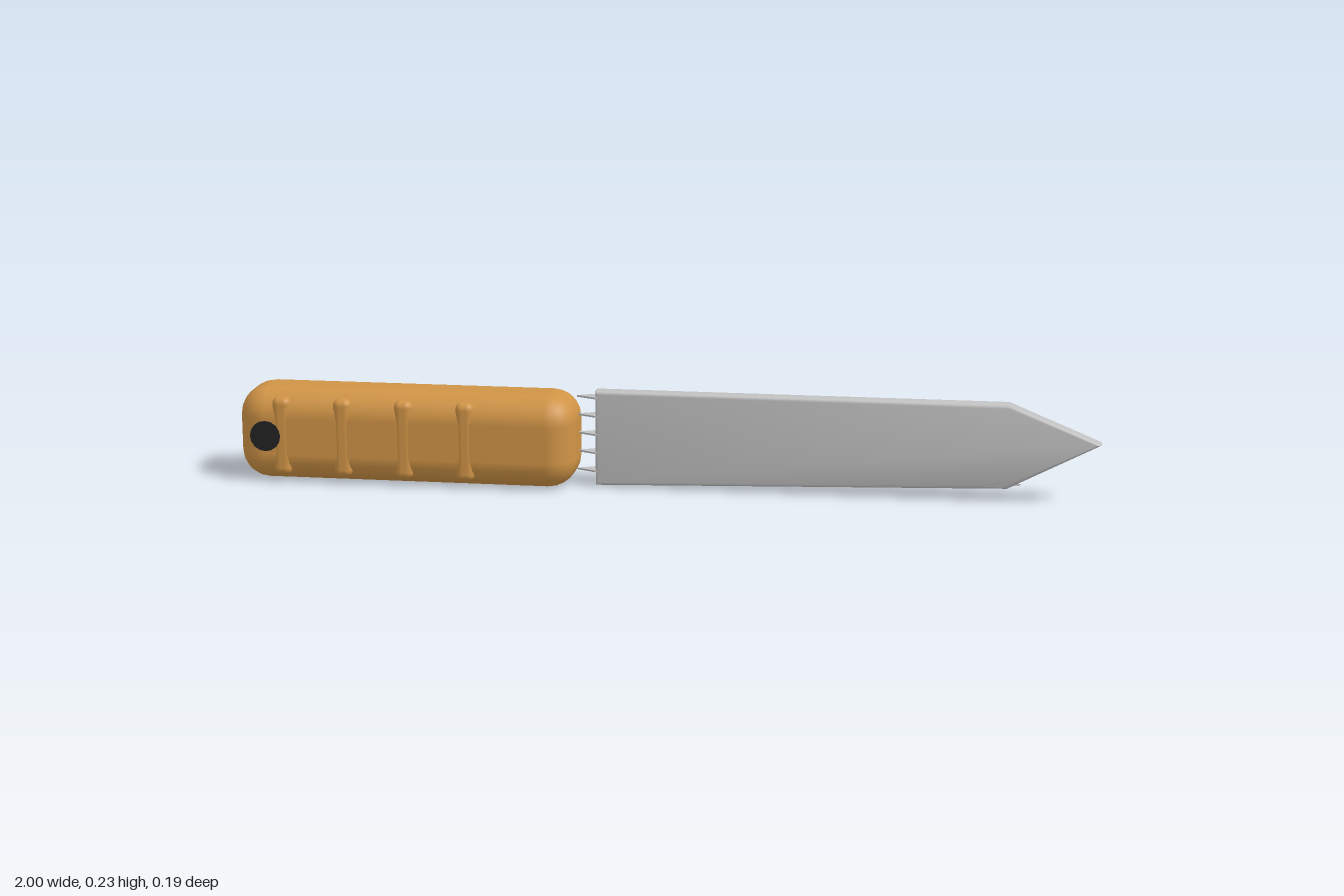
import * as THREE from 'three';
import { toCreasedNormals } from 'three/addons/utils/BufferGeometryUtils.js';
import { RoundedBoxGeometry } from 'three/addons/geometries/RoundedBoxGeometry.js';

const material = (name, color) => {
  const m = new THREE.MeshStandardMaterial({ color });
  m.name = name;
  return m;
};

const polygon = (points) => new THREE.Shape(points.map(([x, y]) => new THREE.Vector2(x, y)));

export function createModel() {
  const group = new THREE.Group();
  const wood = material('warm wood', 0xd09446);
  const steel = material('steel', 0xc0c0c0);
  const black = material('black', 0x222222);

  const add = (name, geometry, mat, x = 0, y = 0, z = 0) => {
    const mesh = new THREE.Mesh(geometry, mat);
    mesh.name = name;
    mesh.position.set(x, y, z);
    group.add(mesh);
    return mesh;
  };

  // Handle with generous rounded corners
  add('handle', new RoundedBoxGeometry(0.8, 0.22, 0.182, 3, 0.067), wood, -0.6, 0.11, 0);

  // Upright grip ribs sunk into both sides
  const ribGeometry = new RoundedBoxGeometry(0.044, 0.186, 0.034, 3, 0.0165);
  for (const side of [1, -1]) {
    for (const x of [-0.89, -0.745, -0.6, -0.455]) {
      add('gripRib', ribGeometry, wood, x, 0.111, side * 0.0755);
    }
  }

  // Black pin through the butt of the handle
  const pin = new THREE.CylinderGeometry(0.036, 0.036, 0.189, 16).rotateX(Math.PI / 2);
  add('handlePin', pin, black, -0.928, 0.112, 0);

  // Blade with softened edges and a pointed tip
  const half = 0.0215, bevel = 0.008;
  const outline = polygon([[-0.16, 0.003], [0.79, 0.03], [1, 0.14], [0.79, 0.227], [-0.16, 0.227]]);
  const blade = new THREE.ExtrudeGeometry(outline, {
    depth: 2 * (half - bevel), bevelThickness: bevel, bevelSize: bevel,
    bevelOffset: -bevel, bevelSegments: 3,
  }).translate(0, 0, -(half - bevel));
  add('blade', toCreasedNormals(blade, 0.6), steel);

  // Thin level plates running through the blade, pointed at both ends
  const w = 0.0213;
  const plateShape = polygon([[-0.205, 0], [-0.16, -w], [0.775, -w], [0.82, 0], [0.775, w], [-0.16, w]]);
  const plate = new THREE.ExtrudeGeometry(plateShape, { depth: 0.004, bevelEnabled: false })
    .translate(0, 0, -0.002).rotateX(-Math.PI / 2);
  for (let i = 0; i < 5; i++) add('bladePlate', plate, steel, 0, 0.037 + i * 0.0435, 0);

  return group;
}
